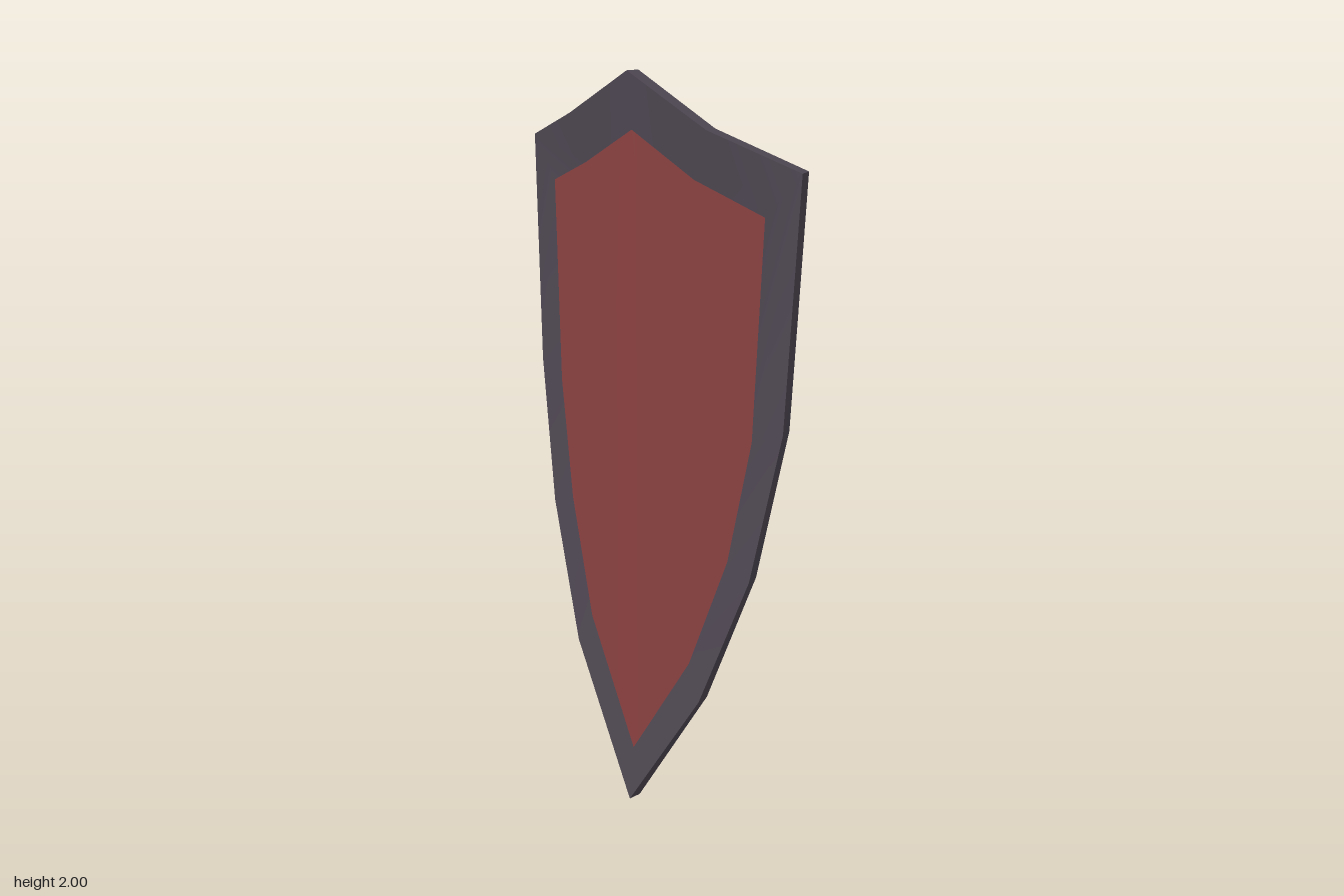
import * as THREE from 'three';
import { toCreasedNormals } from 'three/addons/utils/BufferGeometryUtils.js';

const steel = new THREE.MeshStandardMaterial({ color: 0x4f4853 });
steel.name = 'dark steel';
const red = new THREE.MeshStandardMaterial({ color: 0x8b4141 });
red.name = 'red paint';

// Right-hand half outlines, from top point down to bottom point
const OUTER = [[0, 2, 0.065], [0.25, 1.88, 0.04], [0.49, 1.8, -0.03], [0.465, 1.18, -0.02],
  [0.39, 0.78, 0.006], [0.25, 0.4, 0.04], [0, 0, 0.065]];
const INNER = [[0, 1.86, 0.05], [0.2, 1.76, 0.03], [0.39, 1.69, -0.017], [0.37, 1.14, -0.012],
  [0.31, 0.81, 0.004], [0.2, 0.49, 0.03], [0, 0.16, 0.05]];
// Back outline: the outer one pushed along the bent surface's normal
const BACK = OUTER.map(([x, y, z]) => [x * 0.97, y, z - 0.037]);

// Closes a half outline into a 12-point ring by mirroring
const ring = (half) => [...half, ...half.slice(1, -1).reverse().map(([x, y, z]) => [-x, y, z])];

// Smooth over gentle bends, sharp at corners
function fromTriangles(tris) {
  const g = new THREE.BufferGeometry();
  g.setAttribute('position', new THREE.Float32BufferAttribute(tris.flat(2), 3));
  return toCreasedNormals(g, 0.6);
}

// Band of quads between two closed rings of equal length
function band(a, b) {
  const tris = [];
  a.forEach((p, i) => {
    const j = (i + 1) % a.length;
    tris.push([p, b[i], b[j]], [p, b[j], a[j]]);
  });
  return tris;
}

// Filled sheet, folded along the middle and along two vertical creases
function sheet(half, facingBack) {
  const r = ring(half), tris = [];
  for (const t of [[0, 5, 1], [0, 6, 5], [5, 4, 3], [5, 3, 2], [5, 2, 1]]) {
    const right = t.map((i) => r[i]);
    const left = t.map((i) => r[(12 - i) % 12]).reverse();
    for (const tri of [right, left]) tris.push(facingBack ? tri.reverse() : tri);
  }
  return tris;
}

// Bent strap lofted through cross-sections: [offset from middle, half width, back z]
function strap() {
  const half = [[0.4, 0.002, 0.012], [0.325, 0.05, 0.012], [0.22, 0.05, 0.012], [0.09, 0.05, -0.058]];
  const stations = [...half, ...half.slice().reverse().map(([y, w, z]) => [-y, w, z])];
  const loops = stations.map(([dy, w, z]) => {
    const y = 1.165 + dy, f = z + 0.016;
    return [[-w, y, z], [w, y, z], [w, y, f], [-w, y, f]];
  });
  const tris = [];
  for (let i = 0; i < loops.length - 1; i++) tris.push(...band(loops[i + 1], loops[i]));
  const [a, b, c, d] = loops[0], [e, f, g, h] = loops[loops.length - 1];
  tris.push([a, c, b], [a, d, c], [e, f, g], [e, g, h]);
  return tris;
}

export function createModel() {
  const group = new THREE.Group();
  group.name = 'shield';
  const add = (name, tris, material) => {
    const mesh = new THREE.Mesh(fromTriangles(tris), material);
    mesh.name = name;
    group.add(mesh);
  };
  // Painted faces
  add('frontPanel', sheet(INNER, false), red);
  add('backPanel', sheet(BACK, true), red);
  // Metal border sloping in to the panel, and the outside edge
  add('rim', band(ring(OUTER), ring(INNER)), steel);
  add('edge', band(ring(BACK), ring(OUTER)), steel);
  // Bent grip on the back
  add('handle', strap(), steel);
  return group;
}
